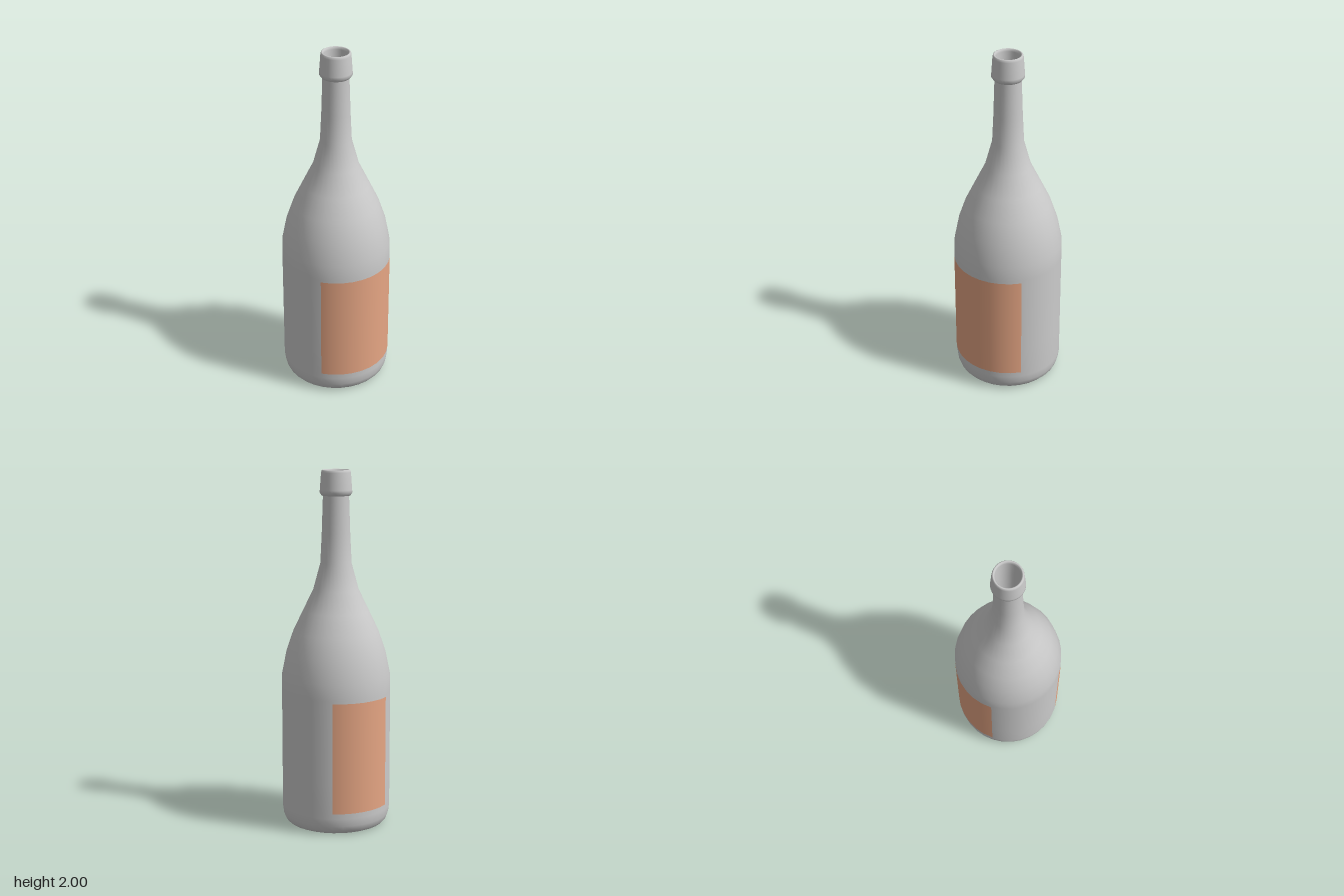
import * as THREE from 'three';

const SIDES = 32;
const STEP = (Math.PI * 2) / SIDES;
const toPoints = (list) => list.map(([r, y]) => new THREE.Vector2(r, y));

// Curved label wrapped over whole facets of the body, centred on an angle
function makeLabel(name, centre, facets) {
  const geometry = new THREE.LatheGeometry(
    toPoints([[0.3075, 0.13], [0.3075, 0.755]]),
    facets, centre - (facets / 2) * STEP, facets * STEP
  );
  const label = new THREE.Mesh(geometry, new THREE.MeshStandardMaterial({ color: 0xe6a684 }));
  label.name = name;
  return label;
}

export function createModel() {
  const model = new THREE.Group();
  model.name = 'bottle';
  const glass = new THREE.MeshStandardMaterial({ color: 0xcccccc });

  // Hollow base, rounded heel, body, shoulder and neck
  const outside = [
    [0, 0.14], [0.07, 0.133], [0.13, 0.113], [0.18, 0.08], [0.215, 0.04], [0.232, 0.014],
    [0.245, 0.004], [0.258, 0.003], [0.275, 0.01], [0.29, 0.027], [0.3, 0.055], [0.306, 0.1],
    [0.306, 0.3], [0.306, 0.6], [0.306, 0.77], [0.305, 0.86], [0.279, 0.99], [0.24, 1.105],
    [0.185, 1.22], [0.127, 1.34], [0.087, 1.487], [0.079, 1.65], [0.072, 1.86],
  ];
  // Flared collar and rolled lip
  const collar = [
    [0.079, 1.86], [0.09, 1.876], [0.089, 1.89], [0.082, 1.985], [0.079, 1.997],
    [0.074, 2], [0.069, 1.997], [0.065, 1.985],
  ];
  // Inner wall down to the raised floor
  const inside = [
    [0.064, 1.86], [0.068, 1.65], [0.075, 1.487], [0.115, 1.34], [0.172, 1.22], [0.227, 1.105],
    [0.266, 0.99], [0.291, 0.86], [0.292, 0.1], [0.27, 0.035], [0.245, 0.03], [0.19, 0.1],
    [0.13, 0.135], [0.07, 0.153], [0, 0.16],
  ];
  const bottle = new THREE.Mesh(
    new THREE.LatheGeometry(toPoints([...outside, ...collar, ...inside]), SIDES), glass
  );
  bottle.name = 'glassBottle';
  model.add(bottle);

  // Wide label on the left side, narrower one on the right
  model.add(makeLabel('mainLabel', Math.PI / 2, 10));
  model.add(makeLabel('backLabel', -Math.PI / 2, 6));
  return model;
}
